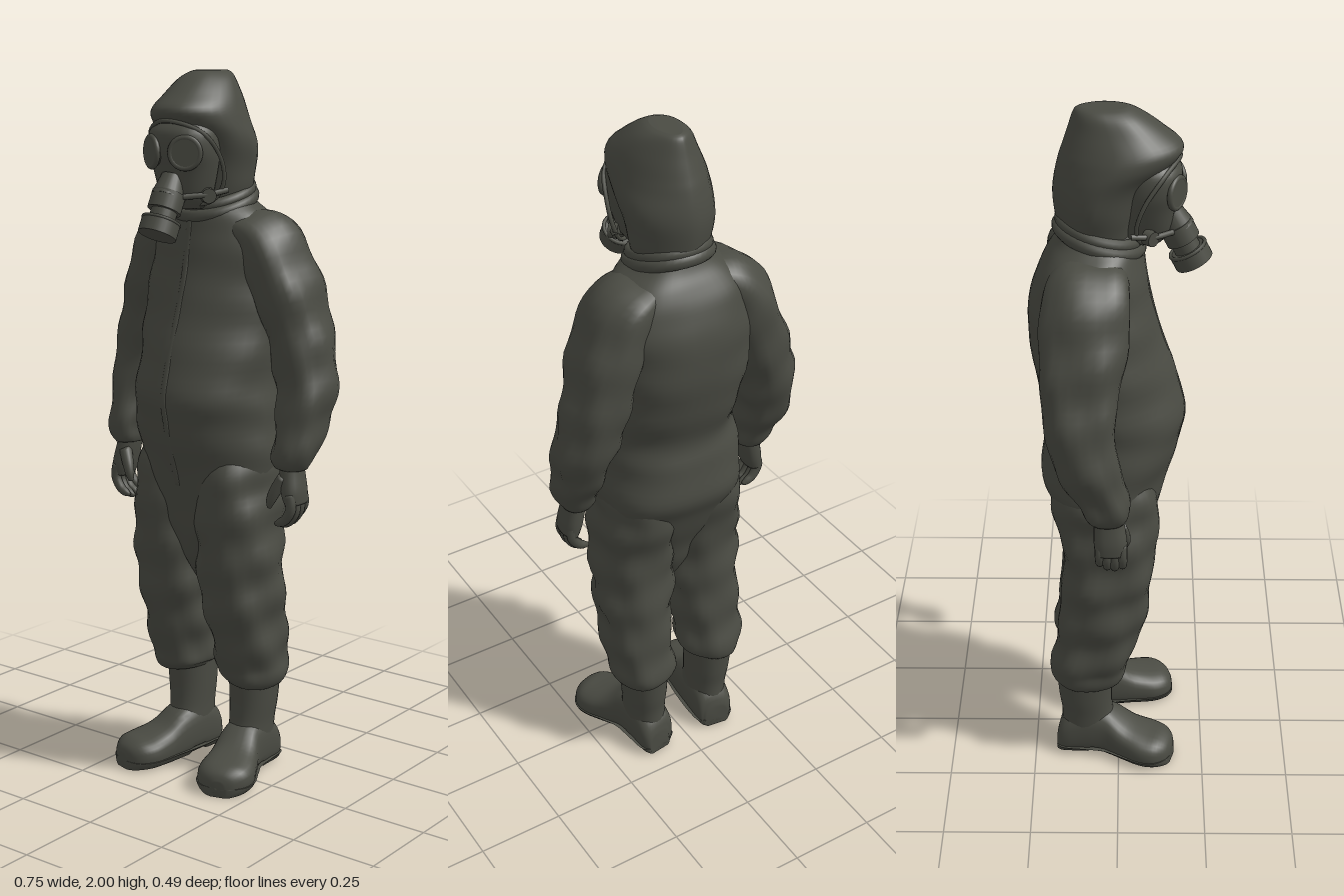
import * as THREE from 'three';

const suit = new THREE.MeshStandardMaterial({ color: 0x4a4b43 });
suit.name = 'dark olive rubber';

const spow = (v, p) => Math.sign(v) * Math.pow(Math.abs(v), p);

// Smooth interpolation through a list of cross-sections
function sample(rows, u) {
  const n = rows.length - 1, f = Math.min(u * n, n - 1e-6), i = Math.floor(f), t = f - i;
  const at = k => rows[Math.max(0, Math.min(n, k))];
  return rows[i].map((p1, c) => {
    const p0 = at(i - 1)[c], p2 = at(i + 1)[c], p3 = at(i + 2)[c];
    return p1 + 0.5 * t * (p2 - p0 + t * (2 * p0 - 5 * p1 + 4 * p2 - p3 + t * (3 * (p1 - p2) + p3 - p0)));
  });
}

// Skin over sections [x, y, half width, front z, back z]; front/back set how pointed
// each half is, fold adds diagonal cloth creases
function loft(rows, { steps = 30, sides = 28, front = 0.88, back = front, fold = 0, seed = 0 } = {}) {
  const pos = [], idx = [];
  for (let i = 0; i <= steps; i++) {
    const u = i / steps, [x, y, a, zf, zb] = sample(rows, u);
    const q = sample(rows, Math.min(1, u + 0.01)), p = sample(rows, Math.max(0, u - 0.01));
    const tx = q[0] - p[0], ty = q[1] - p[1], l = Math.hypot(tx, ty) || 1;
    const sx = ty / l, sy = -tx / l, b = (zf - zb) / 2;
    for (let j = 0; j < sides; j++) {
      const t = (j / sides) * Math.PI * 2, e = Math.sin(t) > 0 ? front : back;
      const crease = Math.sin(y * 33 + 2 * t + seed) * Math.sin(y * 14 - 3 * t + seed * 2);
      const fade = Math.min(1, 5 * u, 5 * (1 - u)) * (0.3 + 0.7 * Math.abs(Math.cos(t)));
      const d = fold * crease * fade;
      const w = (a + d) * spow(Math.cos(t), e);
      pos.push(x + sx * w, y + sy * w, (zf + zb) / 2 + (b + d) * spow(Math.sin(t), e));
      if (i < steps) {
        const k = i * sides + j, k1 = i * sides + (j + 1) % sides;
        idx.push(k, k + sides, k1, k1, k + sides, k1 + sides);
      }
    }
  }
  // Closed ends
  const n = pos.length / 3, end = steps * sides;
  for (const r of [rows[0], rows[rows.length - 1]]) pos.push(r[0], r[1], (r[3] + r[4]) / 2);
  for (let j = 0; j < sides; j++) {
    const j1 = (j + 1) % sides;
    idx.push(n, j, j1, n + 1, end + j1, end + j);
  }
  const g = new THREE.BufferGeometry();
  g.setAttribute('position', new THREE.Float32BufferAttribute(pos, 3));
  g.setIndex(idx);
  g.computeVertexNormals();
  return g;
}

const tube = (pts, r, n = 32) =>
  new THREE.TubeGeometry(new THREE.CatmullRomCurve3(pts.map(p => new THREE.Vector3(...p))), n, r, 8);

// Foot lofted heel to toe, then turned so its length runs along z
function footGeometry(s, grow, low, high) {
  const rows = [[0.103, -0.18, 0.035, 0, -0.07], [0.105, -0.163, 0.055, 0, -0.12], [0.108, -0.1, 0.06, 0, -0.16],
    [0.116, -0.03, 0.062, 0, -0.15], [0.134, 0.03, 0.072, 0, -0.108], [0.152, 0.085, 0.082, 0, -0.09],
    [0.164, 0.125, 0.073, 0, -0.082], [0.172, 0.15, 0.048, 0, -0.066], [0.175, 0.16, 0.02, 0, -0.045]];
  const g = loft(rows.map(r => [r[0] * s, r[1], r[2] + grow, r[3] + 0.01, r[4]]), { front: 0.78 });
  g.rotateX(Math.PI / 2);
  const p = g.attributes.position;
  for (let i = 0; i < p.count; i++) {
    const arch = p.getZ(i) > -0.09 && p.getZ(i) < -0.03 ? 0.014 : 0;
    p.setY(i, Math.min(high, Math.max(low + arch, p.getY(i))));
  }
  g.computeVertexNormals();
  return g;
}

export function createModel() {
  const root = new THREE.Group();
  root.name = 'protectiveSuitFigure';
  const add = (name, geo, at = [0, 0, 0], rot = [0, 0, 0], parent = root) => {
    const m = new THREE.Mesh(geo, suit);
    m.name = name;
    m.position.set(...at);
    m.rotation.set(...rot);
    parent.add(m);
    return m;
  };

  // Coverall body, tapering to a gusset between the legs
  const torso = [[0, 0.58, 0.025, 0.02, -0.08], [0, 0.65, 0.06, 0.065, -0.115], [0, 0.72, 0.11, 0.088, -0.135],
    [0, 0.79, 0.17, 0.105, -0.16], [0, 0.87, 0.207, 0.12, -0.192], [0, 0.95, 0.212, 0.145, -0.22],
    [0, 1.05, 0.207, 0.172, -0.205], [0, 1.13, 0.203, 0.183, -0.194], [0, 1.25, 0.206, 0.153, -0.228],
    [0, 1.38, 0.212, 0.11, -0.245], [0, 1.48, 0.212, 0.085, -0.238], [0, 1.55, 0.202, 0.072, -0.218],
    [0, 1.605, 0.165, 0.065, -0.188], [0, 1.64, 0.122, 0.055, -0.165], [0, 1.67, 0.09, 0.035, -0.15]];
  add('torso', loft(torso, { steps: 70, sides: 48, front: 1.08, back: 0.86, fold: 0.007, seed: 0.6 }));
  add('zipFlap', loft(torso.slice(4, 14).map(([, y, , z]) => [0.004, y, 0.009, z + 0.002, z - 0.016]),
    { steps: 50, sides: 12, front: 0.5 }));

  // Collar rolls
  [[0.108, 0.016, 1.645], [0.102, 0.014, 1.668]].forEach(([r, t, y], i) => {
    const c = add('collar' + (i + 1), new THREE.TorusGeometry(r, t, 10, 40), [0, y, -0.052], [Math.PI / 2 + 0.3, 0, 0]);
    c.scale.set(1, 1.05, 1.2);
  });

  // Hood with overhanging brim and a narrow back seam
  add('hood', loft([[0, 1.6, 0.085, 0.02, -0.14], [0, 1.66, 0.1, 0.035, -0.157], [0, 1.71, 0.113, 0.042, -0.168],
    [0, 1.77, 0.123, 0.062, -0.172], [0, 1.82, 0.127, 0.092, -0.168], [0, 1.865, 0.123, 0.148, -0.158],
    [0, 1.9, 0.113, 0.165, -0.146], [0, 1.94, 0.092, 0.118, -0.133], [0, 1.975, 0.07, 0.07, -0.122],
    [0, 1.993, 0.05, 0.04, -0.113], [0, 2.0, 0.032, 0.022, -0.1]],
  { steps: 44, sides: 36, front: 0.92, back: 1.15, fold: 0.004 }));
  add('hoodRim', tube([[0, 1.645, 0.1], [0.075, 1.655, 0.06], [0.104, 1.7, 0.045], [0.112, 1.77, 0.065], [0.088, 1.84, 0.115],
    [0, 1.87, 0.158], [-0.088, 1.84, 0.115], [-0.112, 1.77, 0.065], [-0.104, 1.7, 0.045], [-0.075, 1.655, 0.06], [0, 1.645, 0.1]], 0.006, 64));

  // Gas mask
  const mask = new THREE.Group();
  mask.name = 'gasMask';
  root.add(mask);
  const part = (name, geo, at, rot) => add(name, geo, at, rot, mask);
  part('maskFace', loft([[0, 1.635, 0.045, 0.115, 0], [0, 1.67, 0.068, 0.138, 0], [0, 1.74, 0.09, 0.15, 0],
    [0, 1.79, 0.1, 0.163, 0], [0, 1.84, 0.095, 0.162, 0], [0, 1.875, 0.07, 0.13, 0]]));
  const tilt = -0.47;
  part('nosePiece', new THREE.CylinderGeometry(0.032, 0.044, 0.06, 24), [0, 1.695, 0.142], [tilt, 0, 0]);
  part('outletHousing', new THREE.CylinderGeometry(0.046, 0.046, 0.05, 24), [0, 1.655, 0.158], [tilt, 0, 0]);
  part('filterNeck', new THREE.CylinderGeometry(0.036, 0.036, 0.06, 24), [0, 1.62, 0.174], [tilt, 0, 0]);
  part('filterCanister', new THREE.CylinderGeometry(0.053, 0.053, 0.042, 32), [0, 1.588, 0.19], [tilt, 0, 0]);
  part('filterRim', new THREE.TorusGeometry(0.05, 0.005, 8, 32), [0, 1.606, 0.181], [Math.PI / 2 + tilt, 0, 0]);

  for (const s of [1, -1]) {
    const side = s > 0 ? 'left' : 'right';
    const mir = rows => rows.map(([x, ...r]) => [x * s, ...r]);
    const seed = s > 0 ? 1.1 : 2.7;

    // Eyepieces, buckles and straps
    part(side + 'EyeRing', new THREE.TorusGeometry(0.04, 0.008, 10, 32), [s * 0.057, 1.787, 0.15], [0, s * 0.5, 0]);
    part(side + 'Lens', new THREE.CylinderGeometry(0.038, 0.04, 0.02, 32), [s * 0.055, 1.787, 0.147], [Math.PI / 2, 0, -s * 0.5]);
    part(side + 'Buckle', new THREE.CylinderGeometry(0.02, 0.022, 0.026, 16), [s * 0.083, 1.672, 0.082], [Math.PI / 2, 0, -s * 0.8]);
    part(side + 'Strap', tube(mir([[0.04, 1.67, 0.14], [0.083, 1.675, 0.09], [0.108, 1.685, 0.03]]), 0.008, 16));

    // Sleeve, sloping out of the shoulder
    add(side + 'Sleeve', loft(mir([[0.04, 1.6, 0.035, 0.0, -0.14], [0.105, 1.578, 0.055, 0.025, -0.175],
      [0.165, 1.538, 0.078, 0.03, -0.198], [0.216, 1.43, 0.083, 0.028, -0.208], [0.26, 1.29, 0.08, 0, -0.203],
      [0.289, 1.17, 0.079, -0.005, -0.185], [0.295, 1.07, 0.068, 0.015, -0.152], [0.292, 1.0, 0.058, 0.03, -0.112],
      [0.286, 0.955, 0.052, 0.03, -0.092], [0.284, 0.935, 0.042, 0.02, -0.08]]), { steps: 50, fold: 0.009, seed }));

    // Gloved hand with curled fingers
    const hand = new THREE.Group();
    hand.name = side + 'Hand';
    root.add(hand);
    add('palm', loft(mir([[0.285, 0.97, 0.03, 0.01, -0.065], [0.292, 0.92, 0.03, 0.018, -0.066],
      [0.302, 0.87, 0.029, 0.025, -0.066], [0.309, 0.835, 0.022, 0.02, -0.062]]), { steps: 14, sides: 20 }), undefined, undefined, hand);
    [0.012, -0.009, -0.03, -0.05].forEach((z, i) => {
      const dy = [0.004, -0.003, 0, 0.012][i];
      add('finger' + (i + 1), loft(mir([[0.307, 0.868, 0.015], [0.313, 0.825 + dy, 0.015], [0.297, 0.794 + dy, 0.014],
        [0.277, 0.781 + dy, 0.012], [0.262, 0.776 + dy, 0.006]].map(([x, y, r]) => [x, y, r, z + r * 0.9, z - r * 0.9])),
      { steps: 14, sides: 12, front: 1 }), undefined, undefined, hand);
    });
    add('thumb', loft(mir([[0.285, 0.915, 0.018, 0.022, -0.02], [0.264, 0.875, 0.017, 0.032, -0.002],
      [0.252, 0.845, 0.013, 0.034, 0.008], [0.248, 0.825, 0.006, 0.028, 0.015]]), { steps: 12, sides: 14, front: 1 }), undefined, undefined, hand);

    // Trouser leg, gathered at the boot
    add(side + 'TrouserLeg', loft(mir([[0.104, 1.0, 0.07, 0.06, -0.16], [0.105, 0.92, 0.098, 0.1, -0.186],
      [0.106, 0.84, 0.108, 0.113, -0.184], [0.11, 0.72, 0.111, 0.106, -0.158], [0.113, 0.6, 0.11, 0.092, -0.163],
      [0.117, 0.5, 0.102, 0.08, -0.174], [0.118, 0.4, 0.094, 0.05, -0.184], [0.118, 0.33, 0.092, 0.03, -0.198],
      [0.118, 0.29, 0.086, 0.018, -0.198], [0.115, 0.268, 0.068, -0.005, -0.18]]),
    { steps: 54, sides: 32, fold: 0.011, seed: seed + 1 }));

    // Rubber boot
    const boot = new THREE.Group();
    boot.name = side + 'Boot';
    root.add(boot);
    add('bootShaft', loft(mir([[0.107, 0.04, 0.055, -0.03, -0.172], [0.109, 0.1, 0.057, -0.01, -0.17],
      [0.11, 0.15, 0.059, -0.018, -0.17], [0.112, 0.21, 0.064, -0.02, -0.178], [0.114, 0.3, 0.069, -0.015, -0.185]]),
    { steps: 20, front: 0.95 }), undefined, undefined, boot);
    add('bootFoot', footGeometry(s, 0, 0.012, 1), undefined, undefined, boot);
    add('bootSole', footGeometry(s, 0.004, 0, 0.026), undefined, undefined, boot);
  }
  return root;
}
